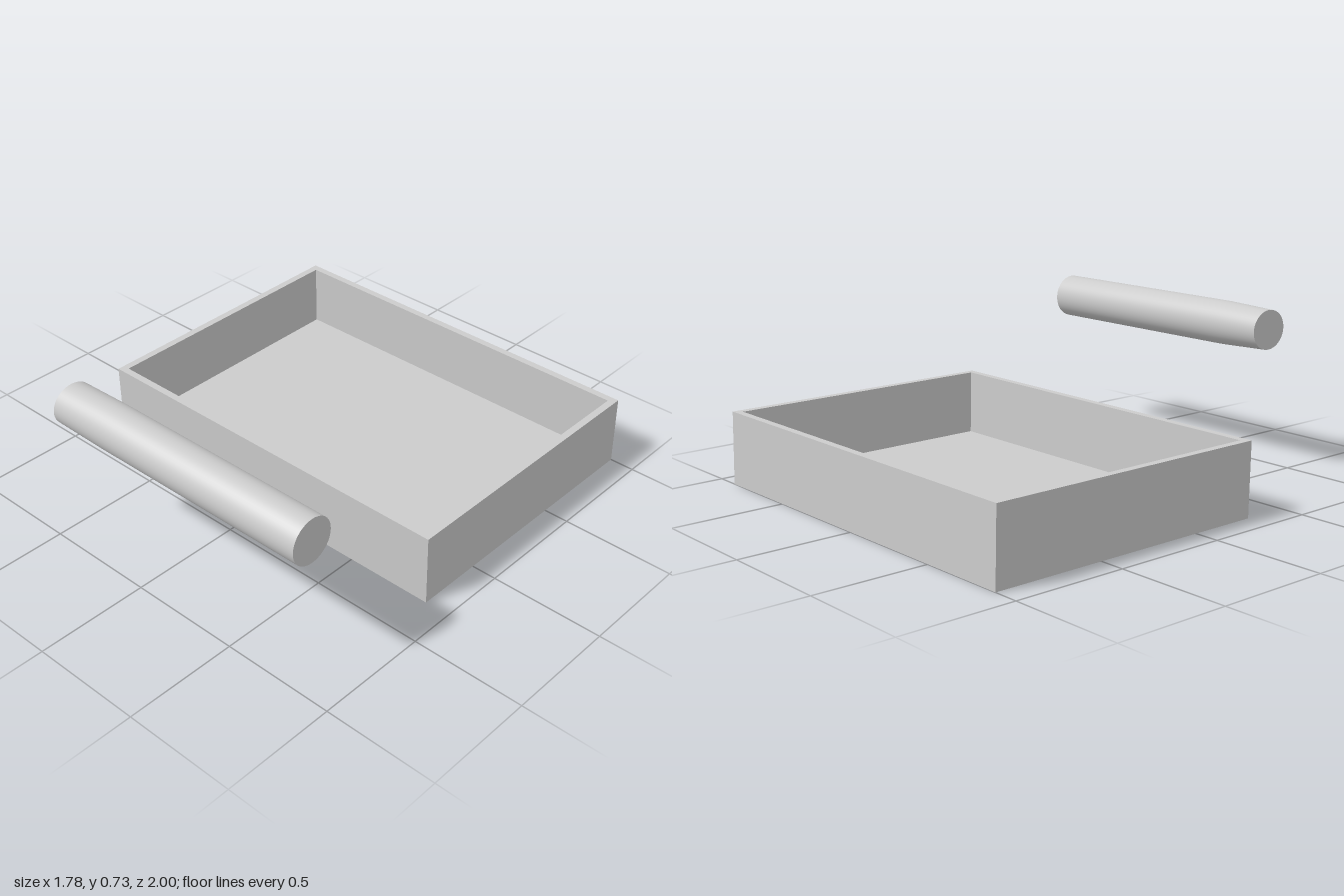
import * as THREE from 'three';

const material = new THREE.MeshStandardMaterial({ color: 0xcccccc });

function addPart(parent, name, geometry) {
  const mesh = new THREE.Mesh(geometry, material);
  mesh.name = name;
  parent.add(mesh);
  return mesh;
}

function rectangle(PathType, halfX, halfZ) {
  return new PathType([
    new THREE.Vector2(-halfX, -halfZ), new THREE.Vector2(halfX, -halfZ),
    new THREE.Vector2(halfX, halfZ), new THREE.Vector2(-halfX, halfZ),
  ]);
}

// Open-topped tray: a rectangular frame of walls around a thin floor
function createTray() {
  const halfX = 0.89, halfZ = 0.65, wall = 0.032, height = 0.32, lean = 0.007;
  const tray = new THREE.Group();
  tray.name = 'tray';

  const outline = rectangle(THREE.Shape, halfX, halfZ);
  outline.holes.push(rectangle(THREE.Path, halfX - wall, halfZ - wall));
  const walls = new THREE.ExtrudeGeometry(outline, { depth: height, bevelEnabled: false });
  walls.rotateX(-Math.PI / 2);
  // The walls lean very slightly forward
  const p = walls.attributes.position;
  for (let i = 0; i < p.count; i++) p.setZ(i, p.getZ(i) + lean * p.getY(i) / height);
  walls.computeVertexNormals();
  addPart(tray, 'trayWalls', walls);

  const floor = new THREE.BoxGeometry(2 * (halfX - wall), wall, 2 * (halfZ - wall));
  addPart(tray, 'trayFloor', floor).position.y = wall / 2;

  tray.position.z = -0.35;
  return tray;
}

// Solid round bar along x, slightly flattened in height toward its right end
function createBar() {
  const length = 1.28, radius = 0.098, taperLength = 0.25;
  const bar = new THREE.CylinderGeometry(radius, radius, length, 48, 32);
  bar.rotateZ(-Math.PI / 2);
  const p = bar.attributes.position;
  for (let i = 0; i < p.count; i++) {
    const fromEnd = p.getX(i) + length / 2;
    const t = Math.max(0, 1 - fromEnd / taperLength);
    p.setY(i, p.getY(i) * (1 - 0.1 * t));
  }
  return bar;
}

export function createModel() {
  const model = new THREE.Group();
  model.name = 'trayAndBar';
  model.add(createTray());
  const bar = addPart(model, 'bar', createBar());
  bar.position.set(0.19, 0.632, 0.898);
  bar.rotation.y = 0.004;
  return model;
}
